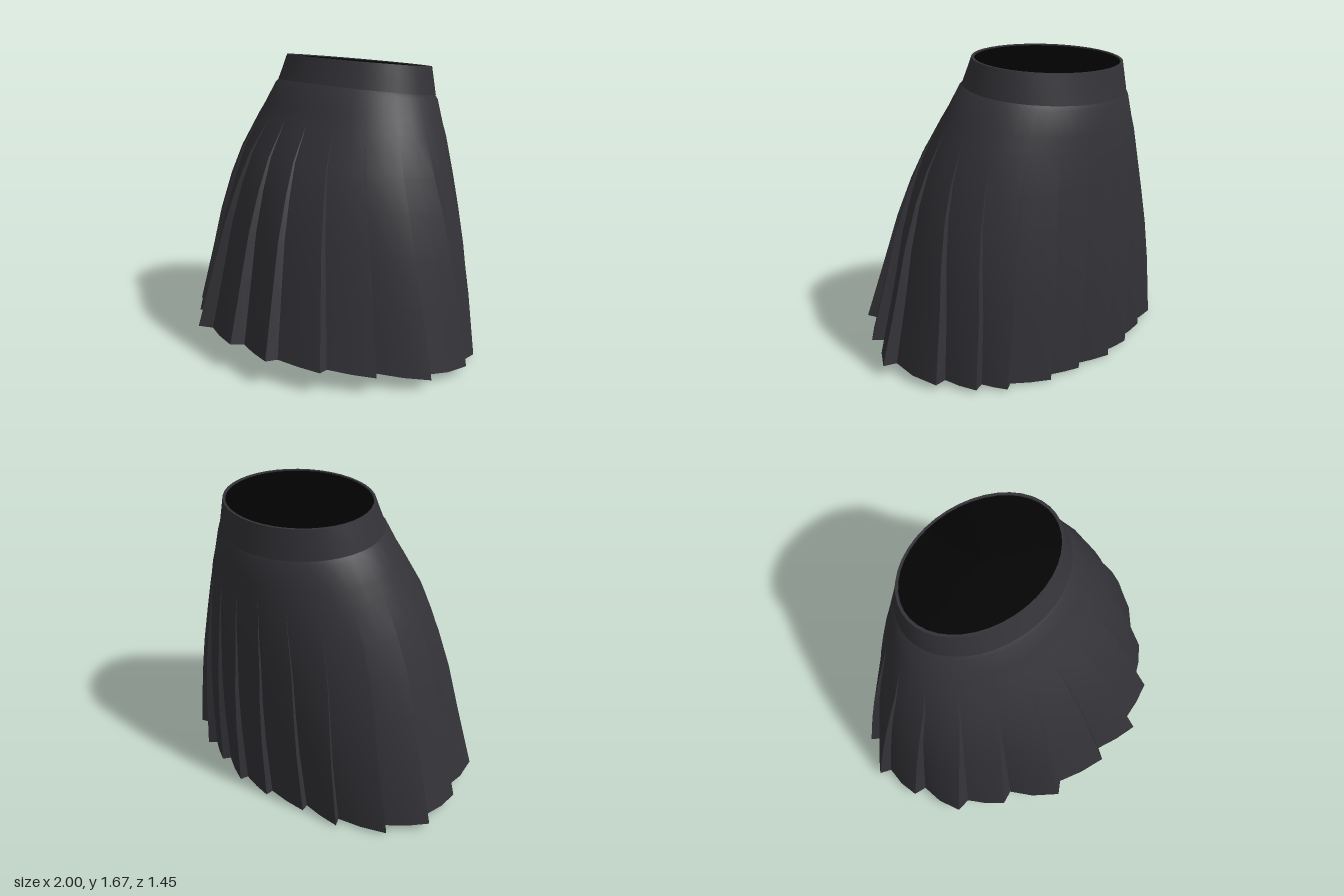
import * as THREE from 'three';
import { toCreasedNormals } from 'three/addons/utils/BufferGeometryUtils.js';

// Outer pleat edges at the hem as x, z, running from the front round by the left side
const TIPS = [
  [0.11, 0.72], [0.41, 0.70], [0.67, 0.54], [0.85, 0.31], [1.0, 0.06],
  [0.94, -0.27], [0.83, -0.45], [0.71, -0.56], [0.47, -0.66], [0.26, -0.69],
  [0.02, -0.72], [-0.20, -0.69], [-0.45, -0.62], [-0.67, -0.56], [-0.90, -0.40],
  [-1.0, -0.18], [-0.92, 0.08], [-0.78, 0.35], [-0.54, 0.51], [-0.25, 0.70],
].map(([x, z]) => {
  const t = Math.atan2(x, z / 0.73);
  return { t: t < 0 ? t + 2 * Math.PI : t, r: Math.hypot(x, z / 0.73) };
});

// A tilted oval: front y and z, back y and z, half width, pleat opening.
// Opened rows sag a little at the sides; closed rows sit slightly off centre.
function place([fy, fz, by, bz, hx, open = 0], t, r) {
  const s = Math.cos(t) * r;
  return [
    Math.sin(t) * r * hx + 0.01 * (1 - open),
    (fy + by) / 2 + (s * (fy - by)) / 2 - 0.02 * open * Math.sin(t) ** 2,
    (fz + bz) / 2 + (s * (fz - bz)) / 2,
  ];
}

// Plain oval ring, optionally scaled about its centre
function ovalRing(row, scale = 1, n = 40) {
  return Array.from({ length: n }, (_, i) => place(row, (i / n) * 2 * Math.PI, scale));
}

// Sawtooth ring: pleats start almost evenly and each panel rises from an inner fold to its outer edge
function pleatRing(row) {
  const open = row[5];
  const edges = TIPS.map((tip, i) => {
    const even = (i / TIPS.length) * 2 * Math.PI;
    const start = even - 0.07 * Math.sin(2 * even);
    return { t: start + (tip.t - start) * open, r: 1 + (tip.r - 1) * open };
  });
  return edges.flatMap(({ t, r }, i) => {
    const next = edges[(i + 1) % edges.length];
    const nextT = next.t < t ? next.t + 2 * Math.PI : next.t;
    const innerT = t + (0.03 + 0.02 * Math.cos(t)) * open;
    const innerR = r * (1 - (0.075 + 0.015 * Math.cos(t)) * open);
    return [
      place(row, t, r),
      place(row, innerT, innerR),
      place(row, (innerT + nextT) / 2, (innerR + next.r) / 2),
    ];
  });
}

// Joins closed rings, listed from top to bottom, into an outward facing skin
function loft(rings, crease) {
  const n = rings[0].length;
  const index = [];
  for (let j = 0; j < rings.length - 1; j++) {
    for (let k = 0; k < n; k++) {
      const k2 = (k + 1) % n;
      const a = j * n + k, b = a + n, c = (j + 1) * n + k2, d = j * n + k2;
      index.push(a, b, c, a, c, d);
    }
  }
  const geo = new THREE.BufferGeometry();
  geo.setAttribute('position', new THREE.Float32BufferAttribute(rings.flat(2), 3));
  geo.setIndex(index);
  return toCreasedNormals(geo, crease);
}

export function createModel() {
  const group = new THREE.Group();
  const cloth = new THREE.MeshStandardMaterial({ color: 0x333338, side: THREE.DoubleSide });
  cloth.name = 'charcoal cloth';
  const dark = new THREE.MeshStandardMaterial({ color: 0x020202, side: THREE.DoubleSide });
  dark.name = 'black lining';

  const add = (name, geo, mat) => {
    const mesh = new THREE.Mesh(geo, mat);
    mesh.name = name;
    group.add(mesh);
  };

  // Pleated body: oval rows, last value is how far the pleats have opened
  const rows = [
    [1.55, 0.135, 1.45, -0.645, 0.507, 0],
    [1.52, 0.165, 1.41, -0.663, 0.542, 0],
    [1.40, 0.225, 1.28, -0.675, 0.60, 0],
    [1.33, 0.265, 1.20, -0.685, 0.64, 0],
    [1.14, 0.39, 1.00, -0.705, 0.72, 0.2],
    [0.97, 0.47, 0.82, -0.715, 0.785, 0.37],
    [0.75, 0.555, 0.60, -0.73, 0.85, 0.56],
    [0.50, 0.63, 0.36, -0.735, 0.91, 0.76],
    [0.15, 0.735, 0.005, -0.725, 1.0, 1],
  ];
  add('pleatedSkirt', loft(rows.map(pleatRing), 0.45), cloth);

  // Waistband with a thin rim and inner wall
  const top = [1.675, 0.095, 1.60, -0.635, 0.487];
  const mid = [1.61, 0.12, 1.52, -0.645, 0.505];
  const low = [1.535, 0.153, 1.435, -0.658, 0.523];
  add('waistband', loft([
    ovalRing(mid, 0.93), ovalRing(top, 0.965), ovalRing(top), ovalRing(mid), ovalRing(low),
  ], 0.5), cloth);

  // Dark lining closing the waist just below the rim
  const lining = [1.668, 0.095, 1.593, -0.635, 0.487];
  add('waistLining', loft([ovalRing(lining, 0), ovalRing(lining, 0.975)], 0.5), dark);

  return group;
}
